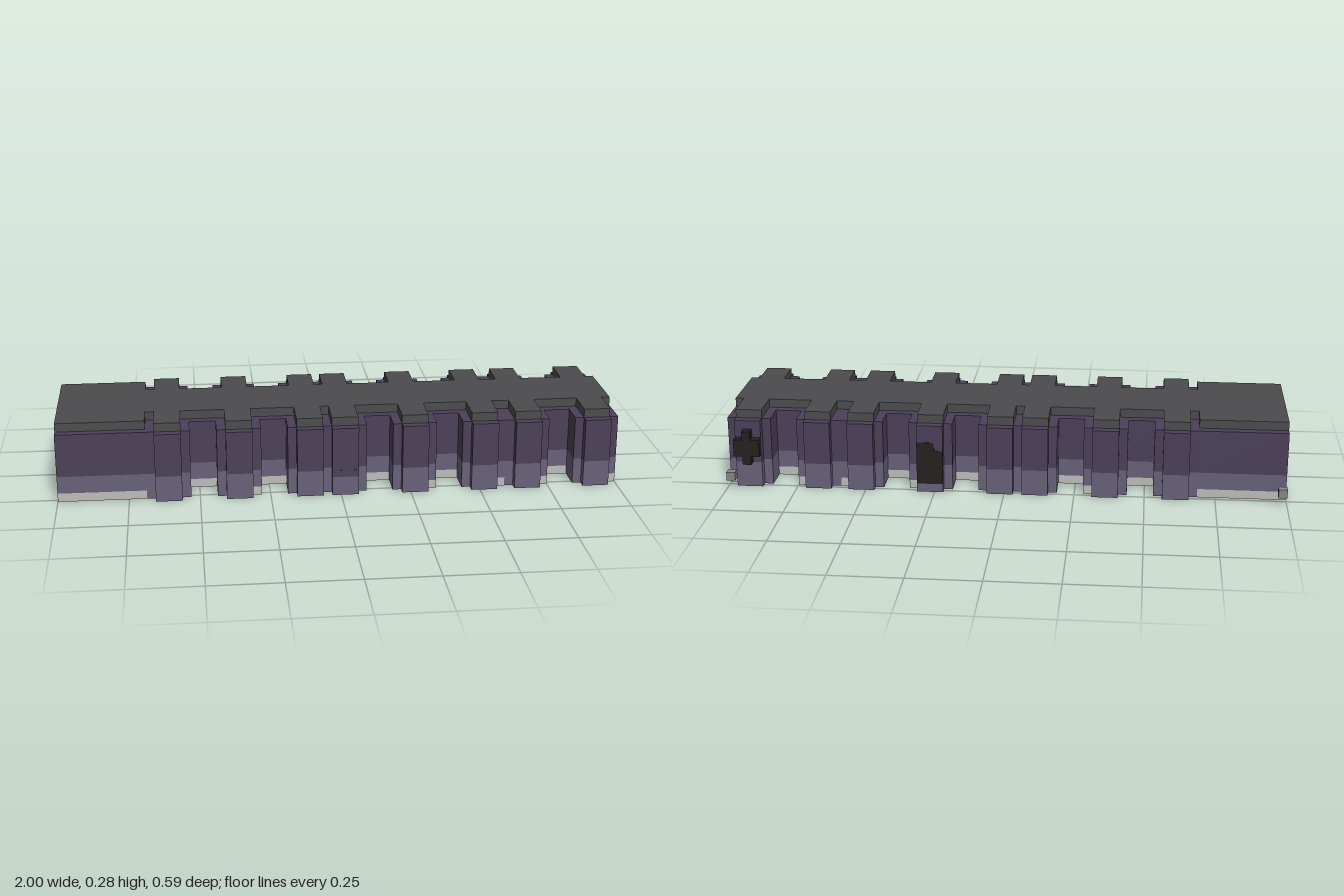
import * as THREE from 'three';

const U = 1 / 32; // one block of the grid

const mat = (name, color) => {
  const m = new THREE.MeshStandardMaterial({ color });
  m.name = name;
  return m;
};

export function createModel() {
  const root = new THREE.Group();
  const M = {
    upper: mat('dark purple', 0x4b4059),
    lower: mat('light purple', 0x68617a),
    roof: mat('charcoal', 0x4c4c4e),
    floor: mat('pale grey', 0xbdbdbb),
    grey: mat('mid grey', 0x868688),
    brown: mat('wood brown', 0x82643e),
    black: mat('black', 0x22211f),
  };

  const group = (name) => {
    const g = new THREE.Group();
    g.name = name;
    root.add(g);
    return g;
  };

  // Box given in block units: x from 0 to 64, y from 0 to 9, z from 0 to 18
  const box = (parent, name, m, x0, x1, y0, y1, z0, z1) => {
    const g = new THREE.BoxGeometry((x1 - x0) * U, (y1 - y0) * U, (z1 - z0) * U);
    g.translate(((x0 + x1) / 2 - 32) * U, ((y0 + y1) / 2) * U, ((z0 + z1) / 2 - 8.5) * U);
    const mesh = new THREE.Mesh(g, m);
    mesh.name = name;
    parent.add(mesh);
  };

  // Half-depths of each column: outer wall, roof (inner wall face) and floor
  const block = { outer: 8, roof: 7, floor: 8, base: 1 };
  const recess = { outer: 5, roof: 4, floor: 5, base: 1 };
  const bay = { outer: 9, roof: 8, floor: 8, base: 0 };
  const side = { outer: 8, roof: 4, floor: 4, base: 0 };
  const raisedSide = { outer: 8, roof: 4, floor: 8, base: 1 };
  const columns = Array.from({ length: 64 }, (_, i) => (i < 10 ? block : recess));
  const raised = [22, 42, 50, 55, 63];
  for (const s of [11, 19, 27, 31, 39, 47, 52, 60]) {
    for (let i = s; i < s + 3; i++) columns[i] = bay;
    for (const i of [s - 1, s + 3]) columns[i] = raised.includes(i) ? raisedSide : side;
  }

  // Floor, walls and roof, one run of equal columns at a time
  const floor = group('floor');
  const walls = group('walls');
  const roof = group('roof');
  for (let a = 0; a < 64;) {
    let b = a + 1;
    while (b < 64 && columns[b] === columns[a]) b++;
    const c = columns[a];
    box(floor, 'floorSlab', M.floor, a, b, 0, 1, 9 - c.floor, 9 + c.floor);
    box(roof, 'roofSlab', M.roof, a, b, 8, 9, 9 - c.roof, 9 + c.roof);
    for (const [z0, z1] of [[9 - c.outer, 9 - c.roof], [9 + c.roof, 9 + c.outer]]) {
      box(walls, 'wallBase', M.lower, a, b, c.base, 3, z0, z1);
      box(walls, 'wallTop', M.upper, a, b, 3, 8, z0, z1);
    }
    a = b;
  }
  box(walls, 'frontBayPatch', M.upper, 31, 34, 2.2, 3, 18, 18.03);

  // Fittings on the back wall
  const fittings = group('backFittings');
  box(fittings, 'cornerBlock', M.grey, 0, 1, 1, 2, -1, 0);
  box(fittings, 'cornerBlock', M.grey, 63, 64, 1, 2, -1, 0);
  box(fittings, 'crossUpright', M.black, 61, 62, 3, 7, -1, 0);
  for (const x of [60, 62]) box(fittings, 'crossArm', M.black, x, x + 1, 4, 6, -1, 0);
  box(fittings, 'darkPanel', M.black, 39, 42, 1, 5, -0.05, 0);
  box(fittings, 'darkPanelTop', M.black, 40, 42, 5, 6, -0.05, 0);

  // Pierced bulkhead near the open end of the large room
  const bulkhead = group('bulkhead');
  box(bulkhead, 'bulkheadLeg', M.roof, 2, 3, 2, 6, 10, 11);
  box(bulkhead, 'bulkheadLintel', M.roof, 2, 3, 4, 6, 8, 10);
  box(bulkhead, 'bulkheadPanel', M.roof, 2, 3, 2, 6, 5, 8);
  box(bulkhead, 'bulkheadBracket', M.roof, 2, 3, 4, 5, 12, 13);
  box(bulkhead, 'bulkheadFoot', M.grey, 2, 3, 1, 2, 10, 11);
  box(bulkhead, 'bulkheadFoot', M.grey, 2, 3, 1, 2, 5, 6);
  box(bulkhead, 'crate', M.brown, 3, 4, 1, 2, 6, 9);

  // Frame and crates by the corridor entrance
  const entrance = group('entranceFrame');
  box(entrance, 'entranceBeam', M.grey, 60, 61, 6, 7, 5, 13);
  box(entrance, 'entrancePost', M.grey, 59, 60, 2, 8, 11, 12);
  box(entrance, 'entranceBracket', M.grey, 60, 61, 5, 6, 12, 13);
  box(entrance, 'entranceBracket', M.grey, 60, 61, 5, 6, 5, 6);
  box(entrance, 'tallCrate', M.brown, 61, 62, 1, 3, 12, 13);
  box(entrance, 'lowCrate', M.brown, 59, 60, 1, 2, 11, 12);

  return root;
}
